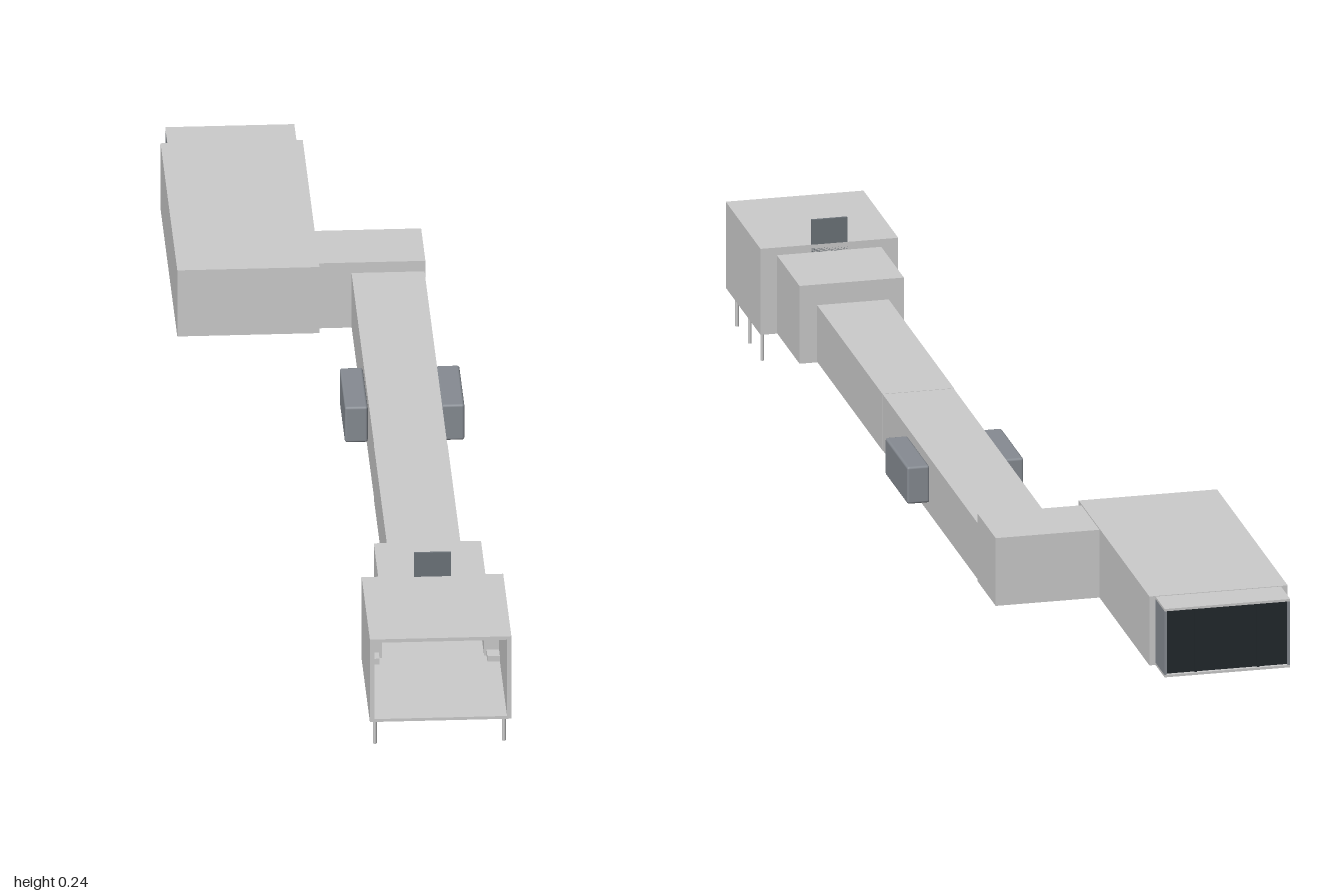
import * as THREE from 'three';
import { RoundedBoxGeometry } from 'three/addons/geometries/RoundedBoxGeometry.js';

const material = (color) => new THREE.MeshStandardMaterial({ color });

export function createModel() {
  const model = new THREE.Group();
  const grey = material(0xcccccc);
  const slate = material(0x868b92);
  const darkSlate = material(0x6c7379);
  const black = material(0x22282c);

  const add = (name, geometry, mat) => {
    const mesh = new THREE.Mesh(geometry, mat);
    mesh.name = name;
    model.add(mesh);
    return mesh;
  };

  // Box given by its limits on each axis
  const box = (name, [x0, x1], [y0, y1], [z0, z1], mat = grey) =>
    add(name, new THREE.BoxGeometry(x1 - x0, y1 - y0, z1 - z0), mat)
      .position.set((x0 + x1) / 2, (y0 + y1) / 2, (z0 + z1) / 2);

  const trace = (path, [x0, x1], [y0, y1]) =>
    path.moveTo(x0, y0).lineTo(x1, y0).lineTo(x1, y1).lineTo(x0, y1).closePath();

  // Rectangular tube along z: outer limits and inner opening
  const frame = (name, ox, oy, ix, iy, [z0, z1], mat = grey) => {
    const shape = new THREE.Shape();
    trace(shape, ox, oy);
    const hole = new THREE.Path();
    trace(hole, ix, iy);
    shape.holes.push(hole);
    const geometry = new THREE.ExtrudeGeometry(shape, { depth: z1 - z0, bevelEnabled: false });
    add(name, geometry, mat).position.z = z0;
  };

  // Open entrance hall with a back wall opening into the vestibule
  frame('entranceHall', [-0.001, 0.226], [0.054, 0.2], [0.006, 0.219], [0.059, 0.194], [0.765, 1]);
  frame('hallBackWall', [0.003, 0.222], [0.056, 0.197], [0.031, 0.195], [0.059, 0.184], [0.765, 0.771]);
  frame('vestibule', [0.027, 0.199], [0.055, 0.187], [0.031, 0.195], [0.059, 0.184], [0.612, 0.765]);
  box('vestibuleEndWall', [0.029, 0.197], [0.056, 0.186], [0.612, 0.617]);
  box('ceilingBeam', [0.045, 0.18], [0.19, 0.195], [0.775, 0.785]);
  for (const x of [0.006, 0.199]) box('hallCurb', [x, x + 0.02], [0.058, 0.069], [0.771, 0.795]);

  // Door into the walkway and the sign panel rising through the roof
  box('walkwayDoor', [0.083, 0.142], [0.059, 0.15], [0.617, 0.621], darkSlate);
  box('signPanel', [0.083, 0.142], [0.15, 0.242], [0.765, 0.769], darkSlate);

  // Six slim support posts
  for (const x of [0.009, 0.216])
    for (const z of [0.965, 0.88, 0.795])
      add('supportPost', new THREE.CylinderGeometry(0.003, 0.003, 0.056, 12), grey).position.set(x, 0.028, z);

  // Telescoping walkway in two sections
  box('walkwayFront', [0.052, 0.17], [0.056, 0.152], [0.17, 0.612]);
  box('walkwayRear', [0.0525, 0.1695], [0.0565, 0.1515], [-0.48, 0.17]);

  // Equipment pods on both sides of the walkway
  for (const x of [0.0335, 0.1885])
    add('sidePod', new RoundedBoxGeometry(0.037, 0.063, 0.15, 2, 0.004), slate).position.set(x, 0.108, -0.075);

  // Elbow and docking cab
  box('elbow', [-0.005, 0.171], [0.055, 0.17], [-0.6, -0.478]);
  box('cab', [-0.228, 0], [0.055, 0.172], [-0.938, -0.46]);

  // Docking hood: roof, floor, side cheeks and recessed dark curtain
  box('hoodRoof', [-0.217, -0.01], [0.167, 0.171], [-1, -0.938]);
  box('hoodFloor', [-0.217, -0.01], [0.055, 0.059], [-1, -0.938]);
  for (const x of [-0.217, -0.014]) box('hoodCheek', [x, x + 0.004], [0.059, 0.167], [-0.999, -0.938], slate);
  box('hoodCurtain', [-0.213, -0.014], [0.059, 0.167], [-0.994, -0.94], black);
  for (const x of [-0.165, -0.062]) box('curtainRib', [x - 0.002, x + 0.002], [0.059, 0.167], [-0.998, -0.994], black);

  return model;
}
